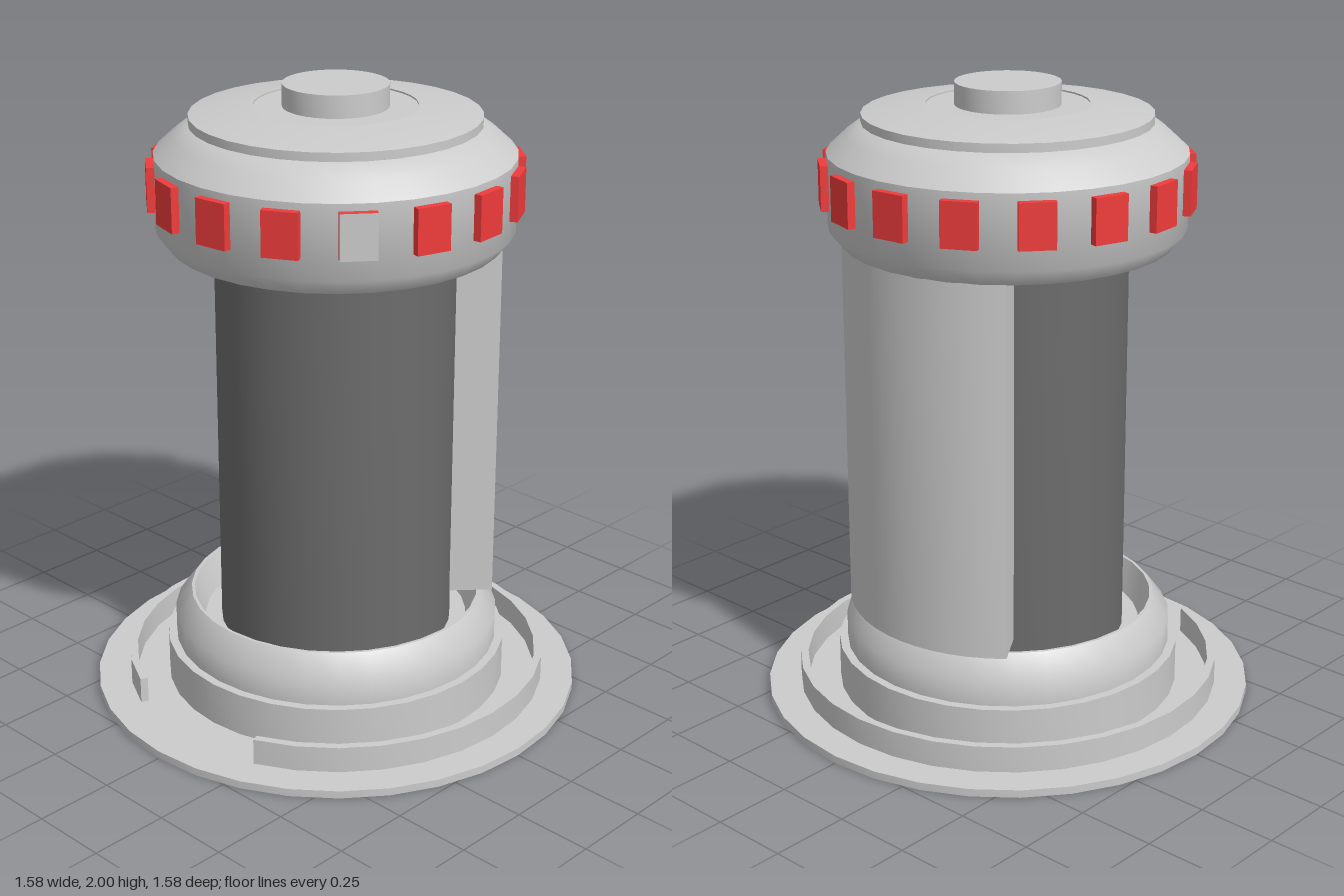
import * as THREE from 'three';
import { toCreasedNormals } from 'three/addons/utils/BufferGeometryUtils.js';

const SIDES = 32;
const rad = THREE.MathUtils.degToRad;
const grey = new THREE.MeshStandardMaterial({ color: 0xcccccc });
const dark = new THREE.MeshStandardMaterial({ color: 0x6c6c6c });
const red = new THREE.MeshStandardMaterial({ color: 0xf03c3c });

export function createModel() {
  const model = new THREE.Group();
  model.name = 'beacon';

  const add = (name, geometry, material = grey) => {
    const mesh = new THREE.Mesh(geometry, material);
    mesh.name = name;
    model.add(mesh);
    return mesh;
  };

  // Turned part from [radius, height] pairs, bottom to top
  const turned = (name, profile, material) => {
    const points = profile.map(([r, y]) => new THREE.Vector2(r, y));
    return add(name, toCreasedNormals(new THREE.LatheGeometry(points, SIDES), 0.8), material);
  };

  // Points on an arc seen from above; degrees run from the front towards +x
  const arc = (r, from, to, steps) => Array.from({ length: steps + 1 }, (_, i) => {
    const a = rad(from + ((to - from) * i) / steps);
    return new THREE.Vector2(r * Math.sin(a), -r * Math.cos(a));
  });

  // Plan outline raised into an upright solid
  const upright = (name, points, bottom, top) => {
    const geometry = new THREE.ExtrudeGeometry(new THREE.Shape(points), { depth: top - bottom, bevelEnabled: false });
    geometry.rotateX(-Math.PI / 2).translate(0, bottom, 0);
    return add(name, toCreasedNormals(geometry, 0.5));
  };

  // Base plate, low wall open at the front, and stepped socket
  turned('basePlate', [[0, 0], [0.79, 0], [0.79, 0.025], [0, 0.025]]);
  upright('baseWall', [...arc(0.685, 22.5, 337.5, 28), ...arc(0.66, 337.5, 22.5, 28)], 0.02, 0.11);
  turned('socket', [
    [0.555, 0.02], [0.555, 0.165], [0.528, 0.165], [0.528, 0.25],
    [0.475, 0.32], [0.465, 0.32], [0.43, 0.22], [0.3, 0.22],
  ]);

  // Dark column with a curved guard behind it
  turned('column', [[0, 0.2], [0.377, 0.2], [0.377, 1.53], [0, 1.53]], dark);
  upright('rearGuard', [
    ...arc(0.514, 128.3, 221.7, 14), ...arc(0.31, 227.6, 122.4, 1),
  ], 0.32, 1.52);

  // Head with chamfered rim, lid and peg
  turned('head', [
    [0, 1.51], [0.515, 1.51], [0.555, 1.56], [0.555, 1.79], [0.495, 1.845], [0.447, 1.88], [0, 1.88],
  ]);
  turned('lid', [[0.447, 1.87], [0.447, 1.907], [0.265, 1.935], [0.25, 1.935], [0.25, 1.93], [0, 1.93]]);
  turned('peg', [[0.163, 1.92], [0.163, 2], [0, 2]]);

  // Ring of sixteen buttons; one has a grey face
  const buttonShape = new THREE.BoxGeometry(0.11, 0.14, 0.026);
  for (let i = 0; i < 16; i++) {
    const a = rad(5.625 + 22.5 * i);
    const material = i === 2 ? [red, red, red, red, grey, red] : red;
    const button = add('button', buttonShape, material);
    button.position.set(0.564 * Math.sin(a), 1.698, 0.564 * Math.cos(a));
    button.rotation.y = a;
  }
  return model;
}
